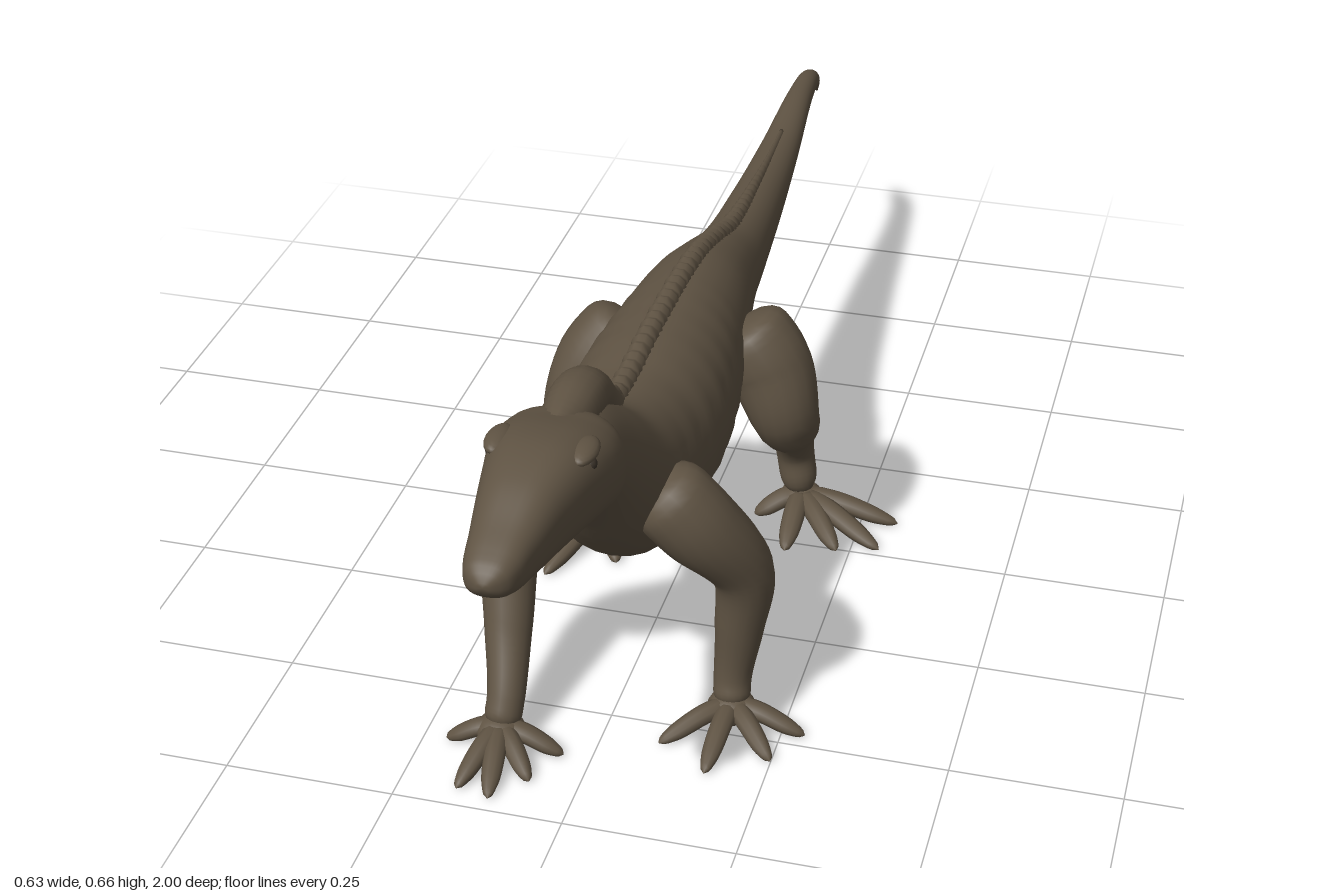
import * as THREE from 'three';

const skin = new THREE.MeshStandardMaterial({ color: 0x5f5343 });
skin.name = 'brown skin';
const dark = new THREE.MeshStandardMaterial({ color: 0x3b332a });
dark.name = 'dark eye';

// Joins rings of points into a closed smooth skin; each end closes on its centre
function loft(name, rings, material = skin) {
  const n = rings[0].length;
  const centre = (ring) => {
    const c = ring.reduce((s, p) => s.add(p), new THREE.Vector3()).divideScalar(n);
    return ring.map(() => c);
  };
  const all = [centre(rings[0]), ...rings, centre(rings[rings.length - 1])];
  const pos = [], index = [];
  all.forEach((ring) => ring.forEach((p) => pos.push(p.x, p.y, p.z)));
  for (let i = 0; i < all.length - 1; i++) {
    for (let j = 0; j < n; j++) {
      const k = (j + 1) % n, a = i * n, b = a + n;
      index.push(a + j, a + k, b + j, a + k, b + k, b + j);
    }
  }
  const geo = new THREE.BufferGeometry();
  geo.setAttribute('position', new THREE.Float32BufferAttribute(pos, 3));
  geo.setIndex(index);
  geo.computeVertexNormals();
  const mesh = new THREE.Mesh(geo, material);
  mesh.name = name;
  return mesh;
}

// Smooth lookup in rows whose first entry is an ascending key
function table(rows) {
  const size = rows[0].length - 1;
  const f = new THREE.CubicInterpolant(
    rows.map((r) => r[0]), rows.flatMap((r) => r.slice(1)), size, new Float32Array(size));
  return (t) => Array.from(f.evaluate(t));
}

// Upright rounded-box section at z
function section(z, x, top, bottom, half, power, n = 28) {
  const e = 2 / power, cy = (top + bottom) / 2, h = (top - bottom) / 2;
  return Array.from({ length: n }, (_, j) => {
    const a = (j / n) * Math.PI * 2, c = Math.cos(a), s = Math.sin(a);
    return new THREE.Vector3(
      x + half * Math.sign(c) * Math.abs(c) ** e, cy + h * Math.sign(s) * Math.abs(s) ** e, z);
  });
}

// Tapering tube through [x, y, z, radius] with rounded ends
function limb(name, pts, ref, steps = 28, n = 14, flat = 1) {
  const curve = new THREE.CatmullRomCurve3(pts.map((p) => new THREE.Vector3(p[0], p[1], p[2])));
  const radius = table(pts.map((p, i) => [i / (pts.length - 1), p[3]]));
  const rings = [];
  for (let i = 0; i <= steps; i++) {
    const s = i / steps, c = curve.getPoint(s), t = curve.getTangent(s);
    const u = ref.clone().cross(t).normalize(), v = t.clone().cross(u);
    const e = Math.max(0, 1 - s / 0.1, 1 - (1 - s) / 0.1);
    const r = radius(s)[0] * Math.sqrt(Math.max(0.02, 1 - e * e));
    rings.push(Array.from({ length: n }, (_, j) => {
      const a = (j / n) * Math.PI * 2;
      return c.clone().addScaledVector(u, r * Math.cos(a)).addScaledVector(v, flat * r * Math.sin(a));
    }));
  }
  return loft(name, rings);
}

const X = new THREE.Vector3(1, 0, 0), Y = new THREE.Vector3(0, 1, 0);

// Torso and tail: z, x, top, bottom, half width
const bodyAt = table([
  [-1, -0.033, 0.335, 0.325, 0.003], [-0.96, -0.03, 0.378, 0.348, 0.011],
  [-0.9, -0.025, 0.413, 0.376, 0.017], [-0.8, -0.02, 0.428, 0.386, 0.022],
  [-0.6, -0.012, 0.424, 0.366, 0.034], [-0.4, -0.005, 0.436, 0.343, 0.045],
  [-0.2, 0, 0.46, 0.328, 0.057], [-0.1, 0, 0.49, 0.326, 0.068],
  [0, 0, 0.516, 0.315, 0.085], [0.1, 0, 0.527, 0.275, 0.1],
  [0.2, 0, 0.53, 0.253, 0.114], [0.3, 0, 0.53, 0.247, 0.118],
  [0.4, 0, 0.525, 0.248, 0.107], [0.48, 0, 0.535, 0.275, 0.1],
  [0.55, 0, 0.58, 0.345, 0.085], [0.6, 0, 0.61, 0.41, 0.073],
  [0.66, 0, 0.63, 0.475, 0.068], [0.74, 0, 0.635, 0.53, 0.06],
]);

// Head: z, x, top, bottom, half width
const headAt = table([
  [0.65, 0, 0.62, 0.51, 0.05], [0.67, 0, 0.637, 0.502, 0.075],
  [0.71, 0, 0.65, 0.506, 0.087], [0.76, 0, 0.662, 0.518, 0.083],
  [0.81, 0, 0.665, 0.525, 0.072], [0.87, -0.003, 0.652, 0.53, 0.058],
  [0.93, -0.006, 0.625, 0.537, 0.045], [0.97, -0.008, 0.607, 0.545, 0.036],
  [0.99, -0.009, 0.595, 0.555, 0.025], [1, -0.009, 0.582, 0.568, 0.009],
]);

// Neck crest: z, top, half width
const crestAt = table([
  [0.44, 0.535, 0.012], [0.48, 0.557, 0.02], [0.53, 0.6, 0.028], [0.58, 0.645, 0.034],
  [0.63, 0.659, 0.036], [0.69, 0.655, 0.03], [0.74, 0.645, 0.012],
]);

function span(a, b, count, make) {
  return Array.from({ length: count + 1 }, (_, i) => make(a + ((b - a) * i) / count, i));
}

// Each leg: joints [x, y, z, radius] ending in the foot, then toe tips [x, z]
const legs = [
  { name: 'leftFrontLeg', toe: 0.016,
    joints: [[0.06, 0.43, 0.5, 0.06], [0.125, 0.36, 0.49, 0.06], [0.183, 0.265, 0.452, 0.046],
      [0.178, 0.16, 0.445, 0.036], [0.17, 0.075, 0.45, 0.028], [0.172, 0.03, 0.465, 0.028]],
    toes: [[0.155, 0.385], [0.285, 0.48], [0.25, 0.55], [0.165, 0.6], [0.085, 0.55]] },
  { name: 'rightFrontLeg', toe: 0.016,
    joints: [[-0.06, 0.43, 0.5, 0.06], [-0.115, 0.36, 0.495, 0.058], [-0.157, 0.265, 0.465, 0.046],
      [-0.148, 0.16, 0.515, 0.036], [-0.135, 0.075, 0.575, 0.028], [-0.137, 0.03, 0.6, 0.028]],
    toes: [[-0.215, 0.615], [-0.165, 0.72], [-0.115, 0.73], [-0.07, 0.68], [-0.04, 0.61]] },
  { name: 'leftHindLeg', toe: 0.018,
    joints: [[0.07, 0.43, 0.05, 0.07], [0.125, 0.37, 0.06, 0.068], [0.157, 0.285, 0.068, 0.052],
      [0.143, 0.2, -0.045, 0.038], [0.135, 0.115, -0.105, 0.031], [0.148, 0.035, -0.1, 0.03]],
    toes: [[0.31, -0.09], [0.295, -0.01], [0.23, 0.01], [0.15, 0.03], [0.08, -0.06]] },
  { name: 'rightHindLeg', toe: 0.018,
    joints: [[-0.07, 0.43, 0.08, 0.07], [-0.125, 0.37, 0.12, 0.066], [-0.153, 0.28, 0.15, 0.05],
      [-0.138, 0.2, 0.065, 0.038], [-0.128, 0.115, 0.008, 0.031], [-0.148, 0.035, 0.02, 0.03]],
    toes: [[-0.27, 0.06], [-0.315, 0.115], [-0.265, 0.165], [-0.2, 0.19], [-0.1, 0.13]] },
];

function buildLeg({ name, joints, toes, toe }) {
  const leg = new THREE.Group();
  leg.name = name;
  leg.add(limb('limb', joints, X, 40, 18));
  const [fx, , fz] = joints[joints.length - 1];
  // Palm
  const palm = new THREE.Mesh(new THREE.SphereGeometry(1, 18, 12), skin);
  palm.name = 'palm';
  palm.scale.set(0.036, 0.024, 0.036);
  palm.position.set(fx, 0.029, fz);
  leg.add(palm);
  // Toes arch a little and taper to a claw
  toes.forEach(([tx, tz]) => {
    const at = (f, y, r) => [fx + (tx - fx) * f, y, fz + (tz - fz) * f, r];
    leg.add(limb('toe', [at(0.05, 0.036, toe), at(0.4, 0.031, toe), at(0.75, 0.018, toe * 0.85),
      at(1, 0.009, toe * 0.35)], Y, 16, 10, 0.85));
  });
  return leg;
}

export function createModel() {
  const model = new THREE.Group();
  model.name = 'lizard';

  // Torso with faint ribs, running into the tail
  model.add(loft('bodyAndTail', span(-1, 0.74, 130, (z) => {
    const [x, top, bottom, half] = bodyAt(z);
    const rib = z > 0.1 && z < 0.44 ? 0.012 * Math.sin((z - 0.1) * 110) : 0;
    return section(z, x, top, bottom, half * (1 + rib), 2.1);
  })));
  model.add(loft('head', span(0.65, 1, 50, (z) => section(z, ...headAt(z), 2.6, 36))));

  // Jagged ridge along the back and tail
  model.add(loft('backRidge', span(-0.62, 0.5, 150, (z, i) => {
    const [x, top] = bodyAt(z);
    const fade = THREE.MathUtils.smoothstep(z, -0.62, -0.1);
    const h = 0.004 + fade * (0.006 + 0.003 * (i % 3));
    return section(z, x, top + h, top - 0.025, 0.006 + fade * (0.01 + 0.002 * (i % 2)), 2, 10);
  })));
  // Taller crest over the neck
  model.add(loft('neckCrest', span(0.44, 0.74, 45, (z, i) => {
    const [top, half] = crestAt(z);
    return section(z, 0, top + 0.003 * (i % 2), top - 0.07, half * (1 + 0.06 * (i % 2)), 2, 16);
  })));

  // Eyes under low brows
  for (const side of [-1, 1]) {
    const eye = new THREE.Mesh(new THREE.SphereGeometry(0.011, 14, 10), dark);
    eye.name = 'eye';
    eye.position.set(side * 0.063, 0.632, 0.785);
    const brow = new THREE.Mesh(new THREE.SphereGeometry(1, 16, 10), skin);
    brow.name = 'brow';
    brow.scale.set(0.018, 0.011, 0.034);
    brow.position.set(side * 0.057, 0.647, 0.78);
    model.add(eye, brow);
  }

  legs.forEach((leg) => model.add(buildLeg(leg)));
  return model;
}
